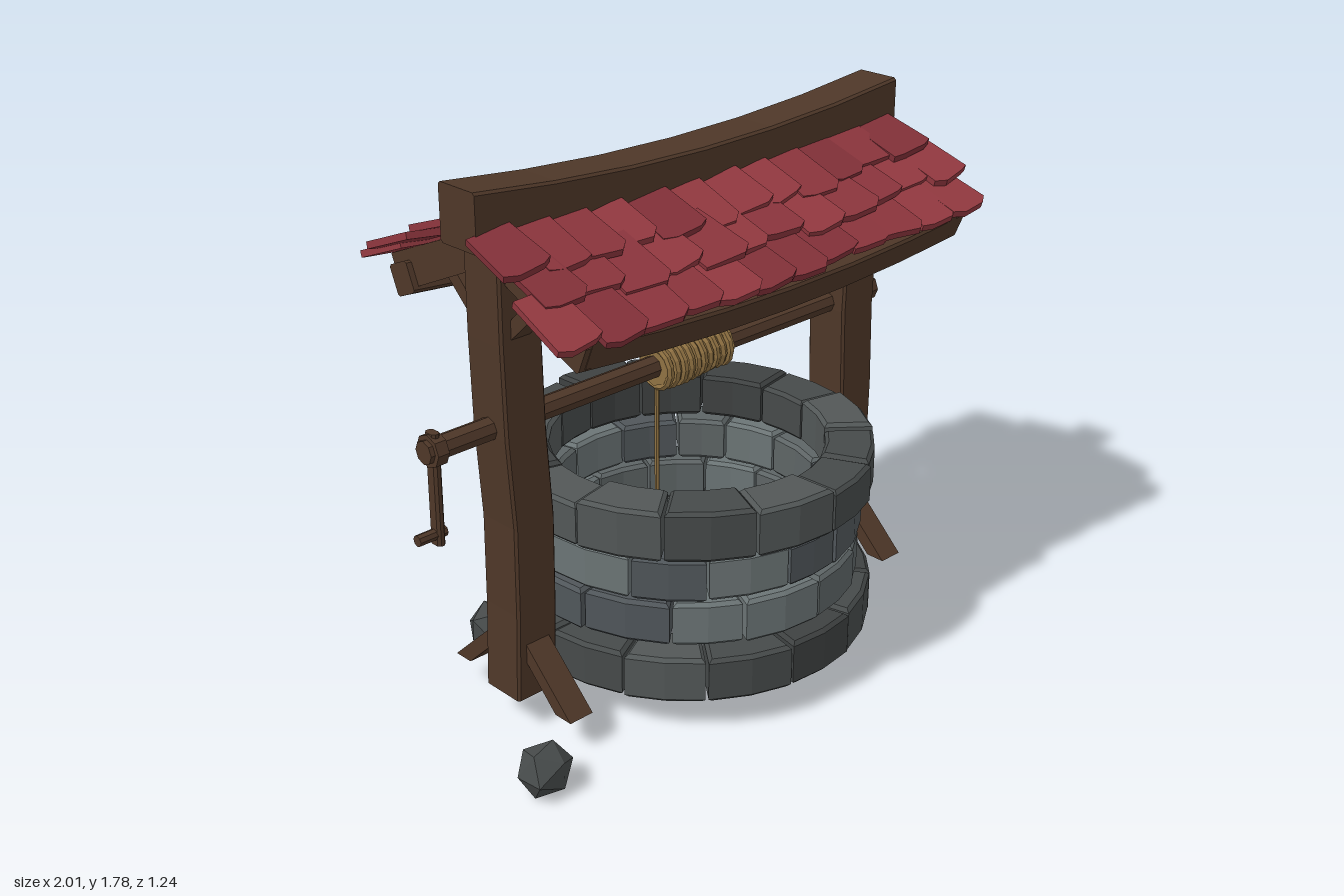
import * as THREE from 'three';

const paint = (color) => new THREE.MeshStandardMaterial({ color, flatShading: true });
const WOOD = paint(0x4e3728), ROPE = paint(0x8f7142);
const REDS = [0x8a343c, 0x813038, 0x91383f].map(paint);
const DARK = [0x464a4a, 0x3e4141, 0x525757].map(paint);
const LIGHT = [0x5d6465, 0x50565a, 0x6b7475].map(paint);

let seed = 7;
const rand = () => (seed = (seed * 16807) % 2147483647) / 2147483647;
const vary = (a) => (rand() * 2 - 1) * a;
const pick = (list) => list[Math.floor(rand() * list.length)];

const WELL_X = 0.09;
// Roof dips in the middle of its length
const sag = (x, depth) => -depth * Math.max(0, 1 - ((x - 0.09) / 0.88) ** 2);

function add(parent, name, geometry, material, x = 0, y = 0, z = 0) {
  const mesh = new THREE.Mesh(geometry, material);
  mesh.name = name;
  mesh.position.set(x, y, z);
  parent.add(mesh);
  return mesh;
}

const polygon = (pts) => new THREE.Shape(pts.map(([x, y]) => new THREE.Vector2(x, y)));

// Chamfered timber running along z, centred, split into steps for bending
function timber(w, h, length, steps) {
  const a = w / 2, b = h / 2, c = 0.008;
  const shape = polygon([[-a + c, -b], [a - c, -b], [a, -b + c], [a, b - c],
    [a - c, b], [-a + c, b], [-a, b - c], [-a, -b + c]]);
  return new THREE.ExtrudeGeometry(shape, { depth: length, steps, bevelEnabled: false })
    .translate(0, 0, -length / 2);
}

// Moves every vertex by a rule
function bend(geometry, rule) {
  const p = geometry.attributes.position, v = new THREE.Vector3();
  for (let i = 0; i < p.count; i++) {
    rule(v.fromBufferAttribute(p, i));
    p.setXYZ(i, v.x, v.y, v.z);
  }
  geometry.computeVertexNormals();
  return geometry;
}

// Flat piece outlined in (z, y), with its thickness along x
function sidePiece(pts, width) {
  return new THREE.ExtrudeGeometry(polygon(pts), { depth: width, bevelEnabled: false })
    .translate(0, 0, -width / 2).rotateY(-Math.PI / 2);
}

// One wedge-shaped block of a ring, with bevelled edges
function stone(inner, outer, start, end, height) {
  const b = 0.012, pts = [], n = 2;
  const gap = 0.004;
  const at = (r, t) => {
    const pad = (b + gap) / r;
    const a = start + pad + (end - start - 2 * pad) * t;
    return [Math.cos(a) * r, Math.sin(a) * r];
  };
  for (let i = 0; i <= n; i++) pts.push(at(outer - b, i / n));
  for (let i = n; i >= 0; i--) pts.push(at(inner + b, i / n));
  return new THREE.ExtrudeGeometry(polygon(pts), {
    depth: height - 2 * b, bevelThickness: b, bevelSize: b, bevelSegments: 1,
  }).translate(0, 0, b).rotateX(-Math.PI / 2);
}

function buildWall(root) {
  const wall = new THREE.Group();
  wall.name = 'stoneWall';
  wall.position.x = WELL_X;
  root.add(wall);
  const rows = [
    [0.12, 0.155, 0.45, 0.615, DARK], [0.292, 0.145, 0.435, 0.57, LIGHT],
    [0.45, 0.145, 0.435, 0.57, LIGHT], [0.612, 0.155, 0.45, 0.615, DARK],
  ];
  rows.forEach(([y, height, inner, outer, colors], row) => {
    const count = 14, step = (Math.PI * 2) / count;
    const cuts = Array.from({ length: count }, (_, i) => (i + row * 0.5) * step + vary(0.05));
    for (let i = 0; i < count; i++) {
      const end = i < count - 1 ? cuts[i + 1] : cuts[0] + Math.PI * 2;
      const g = stone(inner, outer + vary(0.006), cuts[i], end, height + vary(row === 3 ? 0.014 : 0.004));
      add(wall, 'wallStone', g, pick(colors), 0, y, 0);
    }
  });
}

function buildFrame(root) {
  const frame = new THREE.Group();
  frame.name = 'woodenFrame';
  root.add(frame);

  // Slightly crooked posts, each with feet, rafters and braces front and back
  const posts = [
    { x: -0.635, lean: [0, 0.01, 0.012, -0.008, -0.015, -0.015], foot: -0.63, rafter: -0.655 },
    { x: 0.83, lean: [0, 0.006, 0.01, 0, 0.01, 0.018], foot: 0.83, rafter: 0.815 },
  ];
  for (const { x, lean, foot, rafter } of posts) {
    const g = timber(0.155, 0.16, 1.49, 5).rotateX(-Math.PI / 2);
    bend(g, (v) => { v.x += lean[Math.round((v.y / 1.49 + 0.5) * 5)]; });
    add(frame, 'post', g, WOOD, x, 0.865, 0);
    for (const turn of [0, Math.PI]) {
      const parts = [
        ['footBrace', [[0.07, 0.255], [0.21, 0.12], [0.28, 0.12], [0.07, 0.32]], 0.09, foot],
        ['rafter', [[0, 1.535], [0.415, 1.345], [0.46, 1.455], [0, 1.65]], 0.1, rafter],
        ['roofBrace', [[0.07, 1.32], [0.22, 1.46], [0.17, 1.475], [0.07, 1.38]], 0.07, rafter],
      ];
      for (const [name, pts, width, px] of parts) {
        add(frame, name, sidePiece(pts, width), WOOD, px).rotation.y = turn;
      }
    }
  }

  // Sagging ridge beam and eave beams
  const ridge = timber(0.16, 0.18, 1.77, 6).rotateY(Math.PI / 2).translate(0.085, 1.7, 0);
  add(frame, 'ridgeBeam', bend(ridge, (v) => { v.y += sag(v.x, 0.055); }), WOOD);
  for (const s of [1, -1]) {
    const eave = timber(0.09, 0.1, 1.63, 6).rotateY(Math.PI / 2).rotateX(s * 0.4)
      .translate(0.09, 1.405, s * 0.385);
    add(frame, 'eaveBeam', bend(eave, (v) => { v.y += sag(v.x, 0.05); }), WOOD);
  }
}

function buildRoof(root) {
  const rows = [[0.07, 1.655, 0.19], [0.17, 1.598, 0.21], [0.285, 1.535, 0.215]];
  const count = 12, pitch = 0.148, centre = 0.07;
  for (const s of [1, -1]) {
    const side = new THREE.Group();
    side.name = s > 0 ? 'frontShingles' : 'backShingles';
    side.position.x = centre;
    side.rotation.y = s > 0 ? 0 : Math.PI;
    root.add(side);
    rows.forEach(([z, y, length], row) => {
      for (let i = 0; i < count; i++) {
        const x = (i - (count - 1) / 2) * pitch + (row % 2 ? 0.025 : -0.02) + vary(0.012);
        const w = 0.083 + vary(0.008), l = length + vary(0.022);
        const g = new THREE.ExtrudeGeometry(polygon([[-w + 0.008, 0], [-w, -l + 0.012],
          [-w * 0.5, -l - vary(0.01)], [w * 0.6, -l - vary(0.01)], [w, -l + 0.02], [w - 0.008, 0]]),
        { depth: 0.022, bevelEnabled: false }).rotateX(-Math.PI / 2);
        const tile = add(side, 'shingle', g, pick(REDS), x, y + sag(centre + s * x, 0.035), z);
        tile.rotation.set(0.36 + vary(0.05), vary(0.05), 0.1 + vary(0.06));
      }
    });
  }
}

function buildWinch(root) {
  const winch = new THREE.Group();
  winch.name = 'winch';
  winch.position.y = 1.035;
  root.add(winch);
  const rod = (r, length) => new THREE.CylinderGeometry(r, r, length, 8).rotateZ(Math.PI / 2);
  add(winch, 'axle', rod(0.037, 1.92), WOOD);
  add(winch, 'axleCap', rod(0.047, 0.06), WOOD, 0.94);
  add(winch, 'crankHub', rod(0.052, 0.04), WOOD, -0.925);
  add(winch, 'crankArm', timber(0.028, 0.045, 0.36, 1).rotateX(Math.PI / 2), WOOD, -0.925, -0.125);
  add(winch, 'crankHandle', rod(0.018, 0.1), WOOD, -0.95, -0.27);

  // Wound rope and the strand hanging into the well
  add(winch, 'ropeCore', rod(0.066, 0.3), ROPE, 0.09);
  const turns = 10, coil = [];
  for (let i = 0; i <= turns * 12; i++) {
    const a = (i / 12) * Math.PI * 2;
    const r = 0.07 + 0.005 * Math.sin(i * 0.05);
    coil.push(new THREE.Vector3(-0.06 + (0.3 * i) / (turns * 12), Math.cos(a) * r, Math.sin(a) * r));
  }
  add(winch, 'ropeCoil', new THREE.TubeGeometry(new THREE.CatmullRomCurve3(coil), turns * 14, 0.013, 6), ROPE);
  add(winch, 'hangingRope', new THREE.CylinderGeometry(0.008, 0.008, 0.46, 6), ROPE, -0.045, -0.265, 0);
}

function buildRocks(root) {
  for (const [x, z, turn] of [[-0.85, 0.36, 0.3], [-0.45, -0.38, 1.4]]) {
    // Faceted lump with a flattened top and a pointed underside
    const g = bend(new THREE.IcosahedronGeometry(0.1, 0), (v) => {
      v.x *= 0.98 + 0.12 * Math.sin(v.z * 40);
      v.y *= 0.86;
      v.z *= 0.85;
    });
    add(root, 'looseRock', g, DARK[0], x, 0.083, z).rotation.y = turn;
  }
}

export function createModel() {
  seed = 7;
  const root = new THREE.Group();
  root.name = 'wishingWell';
  buildWall(root);
  buildFrame(root);
  buildRoof(root);
  buildWinch(root);
  buildRocks(root);
  return root;
}
